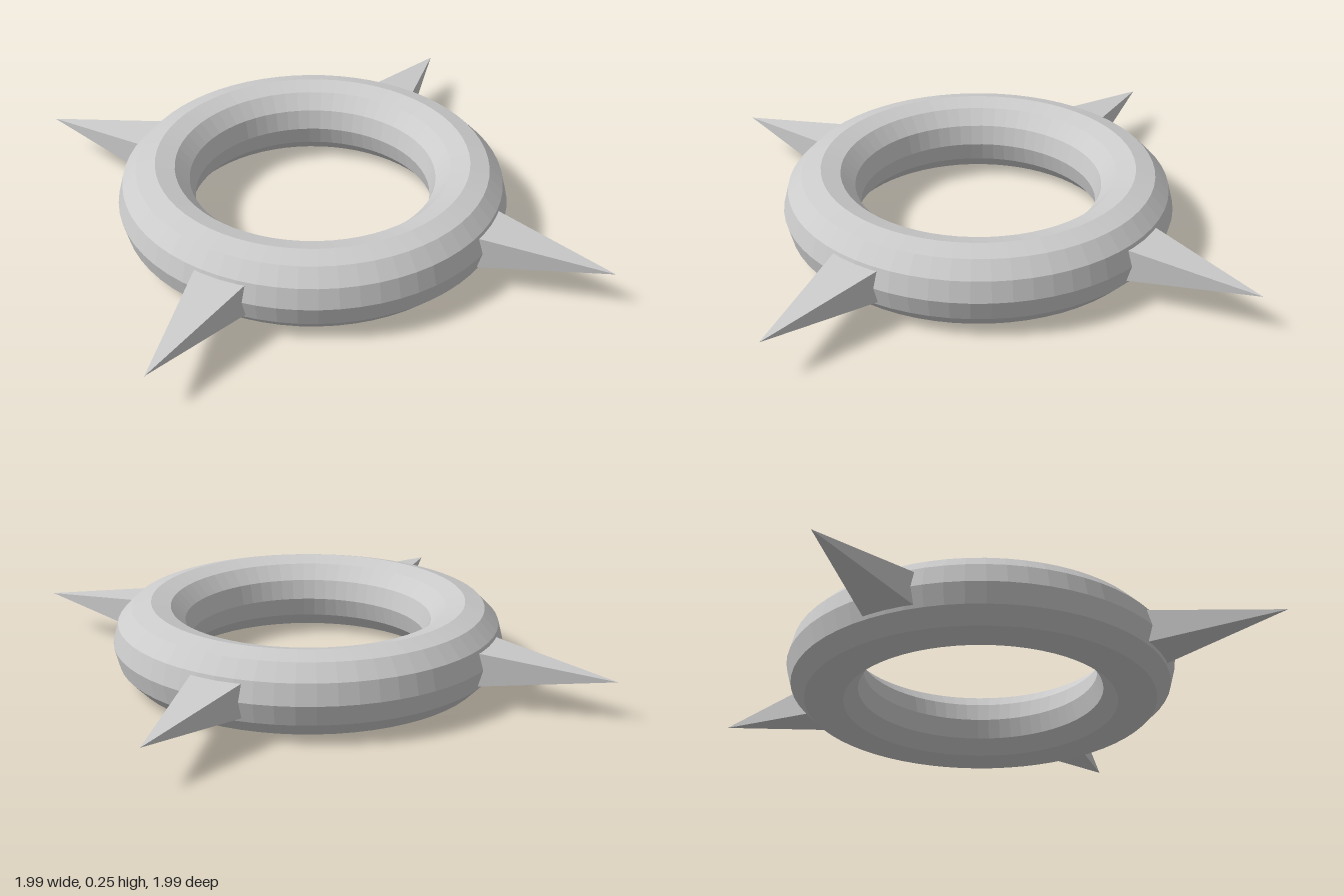
import * as THREE from 'three';

const MID_Y = 0.126;

export function createModel() {
  const model = new THREE.Group();
  const material = new THREE.MeshStandardMaterial({ color: 0xcccccc, flatShading: true });

  // Faceted ring with a twelve-sided tube, lying flat
  const ringGeometry = new THREE.TorusGeometry(0.496, 0.122, 12, 64);
  ringGeometry.rotateX(Math.PI / 2);
  ringGeometry.scale(1, MID_Y / 0.122, 1);
  const ring = new THREE.Mesh(ringGeometry, material);
  ring.name = 'ring';
  ring.position.set(0, MID_Y, -0.006);
  model.add(ring);

  // Four-sided spike pointing along +z, its base sunk into the ring
  const base = 0.57, tip = 0.997;
  const spikeGeometry = new THREE.ConeGeometry(Math.SQRT1_2, tip - base, 4);
  spikeGeometry.rotateY(Math.PI / 4);
  spikeGeometry.rotateX(Math.PI / 2);
  spikeGeometry.scale(0.176, 0.112, 1);
  spikeGeometry.translate(0, 0, (base + tip) / 2);

  // One spike on each of the four sides
  ['frontSpike', 'leftSpike', 'backSpike', 'rightSpike'].forEach((name, i) => {
    const spike = new THREE.Mesh(spikeGeometry, material);
    spike.name = name;
    spike.position.set(0, MID_Y, i % 2 ? 0 : -0.003);
    spike.rotation.y = (i * Math.PI) / 2;
    model.add(spike);
  });

  return model;
}
